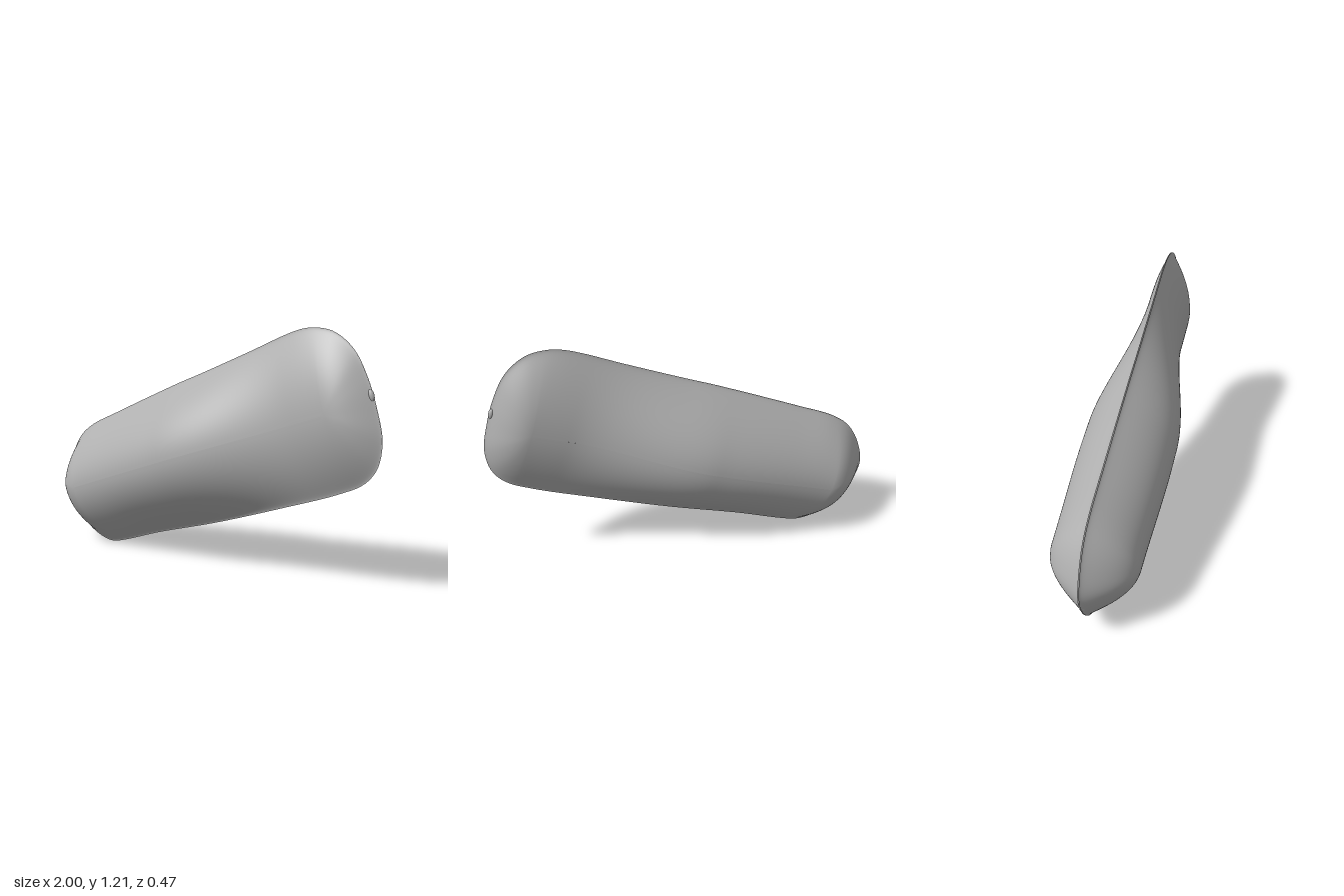
import * as THREE from 'three';
import { mergeVertices } from 'three/addons/utils/BufferGeometryUtils.js';

const RINGS = 28, STEPS = 200;

// Flat outline of the pouch, clockwise from the left end
const OUTLINE = [
  [-1, .33], [-.97, .47], [-.9, .59], [-.8, .665], [-.6, .75], [-.15, .93], [0, .985], [.3, 1.1],
  [.5, 1.18], [.58, 1.205], [.65, 1.213], [.75, 1.195], [.85, 1.12], [.92, 1.0], [.97, .86],
  [1, .72], [.98, .6], [.92, .525], [.8, .465], [.5, .358], [.1, .225], [-.3, .108],
  [-.55, .025], [-.65, .002], [-.75, .02], [-.86, .08], [-.95, .19],
];
const SPINE = new THREE.Line3(new THREE.Vector3(-.74, .335, 0), new THREE.Vector3(.77, .83, 0));

// Half thickness along the spine: plump on the left, flat on the right
function fullness(x) {
  return .232 - .127 * THREE.MathUtils.smoothstep(x, -.1, .6)
    - .02 * THREE.MathUtils.smoothstep(-x, .2, .8);
}

// Rise from the thin seam (k = 0) to the spine (k = 1)
function dome(k) {
  const s = 1.04 * k * k / (k + .04);
  return 1 - (1 - s) ** 2;
}

// One half of the pouch, made of rings that shrink from the outline to the spine
function shell(side) {
  const curve = new THREE.CatmullRomCurve3(
    OUTLINE.map(([x, y]) => new THREE.Vector3(x, y, 0)), true, 'centripetal');
  const rim = curve.getSpacedPoints(STEPS).slice(0, STEPS);
  const positions = [], index = [], p = new THREE.Vector3(), s = new THREE.Vector3();
  for (let i = 0; i <= RINGS; i++) {
    const k = (i / RINGS) ** 1.5;
    for (const r of rim) {
      SPINE.closestPointToPoint(r, true, s);
      p.lerpVectors(r, s, k);
      positions.push(p.x, p.y, side * (.002 + fullness(s.x) * dome(k)));
    }
  }
  for (let i = 0; i < RINGS; i++) {
    for (let j = 0; j < STEPS; j++) {
      const n = (j + 1) % STEPS;
      const a = i * STEPS + j, b = i * STEPS + n, c = a + STEPS, d = b + STEPS;
      if (side > 0) index.push(a, c, b, b, c, d);
      else index.push(a, b, c, b, d, c);
    }
  }
  let geo = new THREE.BufferGeometry();
  geo.setAttribute('position', new THREE.Float32BufferAttribute(positions, 3));
  geo.setIndex(index);
  geo = mergeVertices(geo, 1e-5);
  geo.computeVertexNormals();
  return geo;
}

export function createModel() {
  const group = new THREE.Group();
  group.name = 'pouch';
  const grey = new THREE.MeshStandardMaterial({ color: 0xb0b0b0, side: THREE.DoubleSide });
  grey.name = 'grey';
  const add = (name, geo) => {
    const mesh = new THREE.Mesh(geo, grey);
    mesh.name = name;
    group.add(mesh);
    return mesh;
  };

  add('frontShell', shell(1));
  add('backShell', shell(-1));

  // Small pinched nubs on the seam at both ends
  for (const [name, x, y, tilt] of [['rightEndNub', .94, .92, .3], ['leftEndNub', -.955, .235, .5]]) {
    const nub = add(name, new THREE.SphereGeometry(1, 16, 12));
    nub.scale.set(.014, .03, .014);
    nub.position.set(x, y, 0);
    nub.rotation.z = tilt;
  }
  return group;
}
